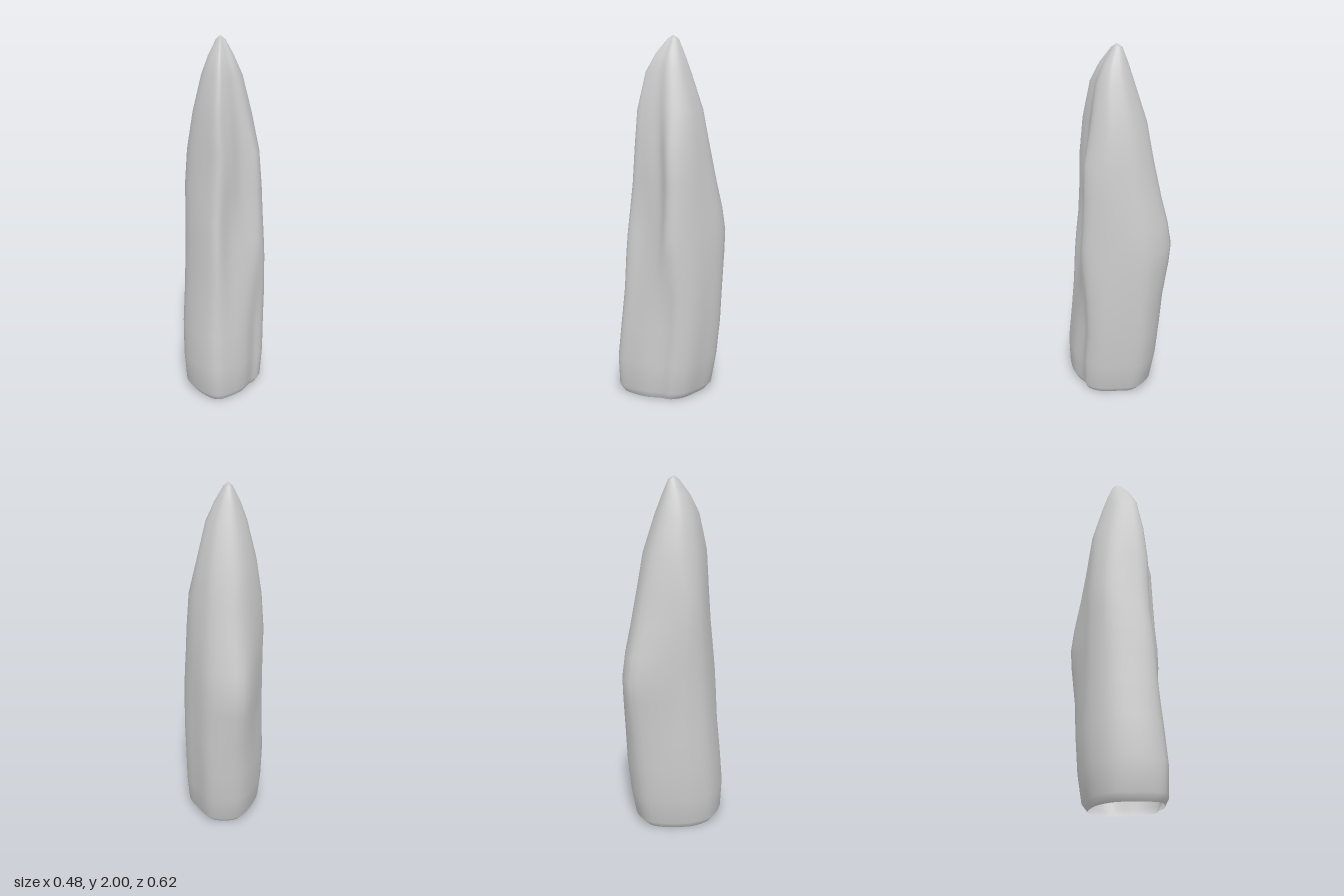
import * as THREE from 'three';

// Outlines as [x, z], from the back round over +x to the front
const OUTLINES = [
  { y: 0.35, pts: [[.02, -.25], [.18, -.19], [.222, -.06], [.236, .05], [.206, .128], [.15, .163], [.083, .228],
    [-.005, .27], [-.105, .29], [-.18, .215], [-.235, .07], [-.21, -.045], [-.14, -.14]] },
  { y: 0.95, pts: [[.03, -.31], [.18, -.215], [.22, -.06], [.222, .06], [.2, .135], [.165, .165], [.1, .165],
    [0, .19], [-.09, .24], [-.15, .175], [-.21, .03], [-.19, -.07], [-.15, -.13]] },
  { y: 1.35, pts: [[.02, -.215], [.14, -.15], [.185, -.05], [.2, .03], [.185, .11], [.15, .155], [.07, .15],
    [0, .195], [-.07, .218], [-.13, .15], [-.19, .03], [-.19, -.05], [-.15, -.11]] },
  { y: 1.65, pts: [[0, -.15], [.11, -.1], [.14, -.04], [.15, .02], [.125, .08], [.09, .115], [.04, .135],
    [-.02, .17], [-.07, .187], [-.12, .12], [-.15, .03], [-.14, -.045], [-.1, -.1]] },
];

// Height and extents: [y, xMin, xMax, zMin, zMax]
const LEVELS = [
  [0, -.2, .185, -.17, .28], [.04, -.23, .215, -.205, .305], [.2, -.241, .23, -.235, .311],
  [.4, -.238, .238, -.255, .29], [.6, -.225, .24, -.272, .27], [.8, -.216, .232, -.302, .26],
  [.92, -.212, .226, -.312, .25], [1.05, -.209, .219, -.29, .234], [1.2, -.205, .212, -.25, .222],
  [1.4, -.19, .195, -.205, .215], [1.6, -.16, .16, -.165, .195], [1.8, -.115, .105, -.097, .15],
  [1.9, -.075, .06, -.063, .095], [1.98, -.03, .018, -.032, .03],
];
const SIDES = 60;

// Outline at height y, blended from its neighbours and smoothed
function outlineAt(y) {
  let k = 0;
  while (k < OUTLINES.length - 2 && y > OUTLINES[k + 1].y) k++;
  const a = OUTLINES[k], b = OUTLINES[k + 1];
  const t = THREE.MathUtils.smoothstep(y, a.y, b.y);
  const pts = a.pts.map(([x, z], i) => new THREE.Vector3(
    THREE.MathUtils.lerp(x, b.pts[i][0], t), 0, THREE.MathUtils.lerp(z, b.pts[i][1], t)));
  const curve = new THREE.CatmullRomCurve3(pts, true, 'centripetal');
  return Array.from({ length: SIDES }, (_, i) => curve.getPoint(i / SIDES));
}

// Ring of points fitted to the extents of one level
function ringAt([y, x0, x1, z0, z1]) {
  const pts = outlineAt(y);
  const box = new THREE.Box3().setFromPoints(pts);
  return pts.map((p) => new THREE.Vector3(
    THREE.MathUtils.mapLinear(p.x, box.min.x, box.max.x, x0, x1), y,
    THREE.MathUtils.mapLinear(p.z, box.min.z, box.max.z, z0, z1)));
}

export function createModel() {
  const group = new THREE.Group();
  group.name = 'rockSpire';

  // Weathered shell lofted through the rings, closed at the tip and open below
  const points = LEVELS.flatMap(ringAt);
  const tip = points.length;
  points.push(new THREE.Vector3(-.01, 2, 0));
  const index = [];
  for (let r = 0; r < LEVELS.length; r++) {
    for (let j = 0; j < SIDES; j++) {
      const a = r * SIDES + j, b = r * SIDES + (j + 1) % SIDES;
      if (r === LEVELS.length - 1) index.push(a, tip, b);
      else index.push(a, a + SIDES, b, b, a + SIDES, b + SIDES);
    }
  }
  const geometry = new THREE.BufferGeometry().setFromPoints(points);
  geometry.setIndex(index);
  geometry.computeVertexNormals();

  const body = new THREE.Mesh(geometry, new THREE.MeshStandardMaterial({ color: 0xcccccc, side: THREE.DoubleSide }));
  body.name = 'rockBody';
  group.add(body);
  return group;
}
